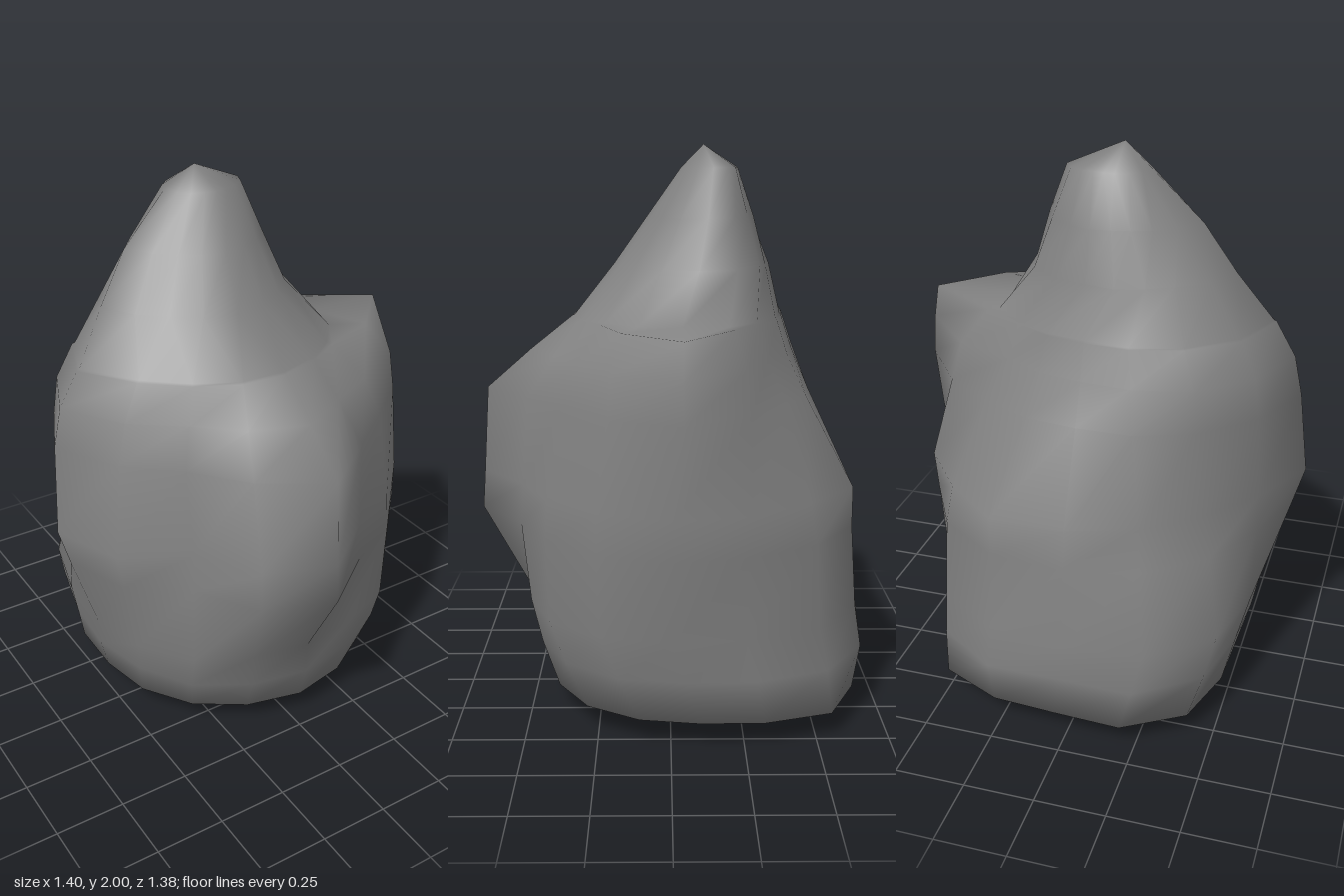
import * as THREE from 'three';

// Each section: height, centre x, centre z, then radii from +x round through +z.
const body = [
  [0.01, 0.04, -0.12, [.31, .31, .31, .31, .32, .31, .30, .29, .30, .38, .42, .40, .32, .33, .34, .32]],
  [0.09, 0.04, -0.10, [.53, .54, .55, .54, .54, .53, .53, .53, .53, .57, .64, .63, .57, .60, .64, .57]],
  [0.25, 0.02, -0.05, [.58, .59, .58, .55, .55, .55, .56, .55, .56, .59, .68, .69, .63, .68, .68, .62]],
  [0.40, 0, 0, [.63, .62, .59, .54, .53, .53, .55, .56, .57, .61, .70, .73, .69, .71, .71, .65]],
  [0.69, 0, 0, [.67, .64, .60, .57, .69, .65, .54, .62, .66, .62, .64, .67, .66, .69, .69, .67]],
  [0.83, 0, 0, [.69, .64, .59, .56, .68, .64, .52, .65, .70, .62, .59, .61, .64, .69, .66, .68]],
  [1.14, 0, -0.04, [.70, .64, .57, .58, .70, .60, .53, .59, .67, .61, .55, .50, .46, .47, .50, .58]],
];
const crown = [
  [1.28, 0, -0.04, [.69, .62, .51, .48, .54, .51, .48, .55, .64, .59, .53, .45, .40, .40, .41, .54]],
  // shoulder ledge: outer rim, then inner foot of the peak
  [1.40, 0, -0.04, [.67, .52, .39, .38, .39, .41, .43, .48, .57, .53, .465, .405, .36, .36, .37, .44]],
  [1.405, 0, -0.04, [.38, .385, .37, .37, .38, .40, .42, .47, .56, .52, .46, .40, .355, .355, .36, .40]],
  [1.58, -0.09, -0.10, [.35, .33, .31, .30, .30, .28, .28, .31, .35, .31, .26, .25, .26, .26, .30, .34]],
  [1.75, -0.06, -0.13, [.26, .24, .22, .21, .21, .20, .20, .23, .27, .22, .18, .16, .16, .18, .20, .24]],
  [1.92, -0.02, -0.15, [.15, .14, .12, .11, .11, .11, .12, .13, .14, .13, .12, .10, .09, .09, .11, .13]],
];

// Skin a stack of sections and close both ends with a point.
function loft(sections, bottom, top) {
  const n = sections[0][3].length, pos = [], index = [];
  for (const [y, cx, cz, radii] of sections) {
    radii.forEach((r, i) => {
      const a = (i / n) * Math.PI * 2;
      pos.push(cx + r * Math.cos(a), y, cz + r * Math.sin(a));
    });
  }
  const low = sections.length * n, high = low + 1, last = low - n;
  pos.push(...bottom, ...top);
  for (let i = 0; i < n; i++) {
    const j = (i + 1) % n;
    index.push(low, i, j, high, last + j, last + i);
    for (let k = 0; k < last; k += n) {
      index.push(k + i, k + n + i, k + j, k + j, k + n + i, k + n + j);
    }
  }
  const geo = new THREE.BufferGeometry();
  geo.setAttribute('position', new THREE.Float32BufferAttribute(pos, 3));
  geo.setIndex(index);
  geo.computeVertexNormals();
  return geo;
}

export function createModel() {
  const group = new THREE.Group();
  group.name = 'boulder';
  const rock = new THREE.Mesh(
    loft([...body, ...crown], [-0.1, 0, -0.2], [-0.06, 2, -0.12]),
    new THREE.MeshStandardMaterial({ color: 0x828282 })
  );
  rock.name = 'rock';
  group.add(rock);
  return group;
}
